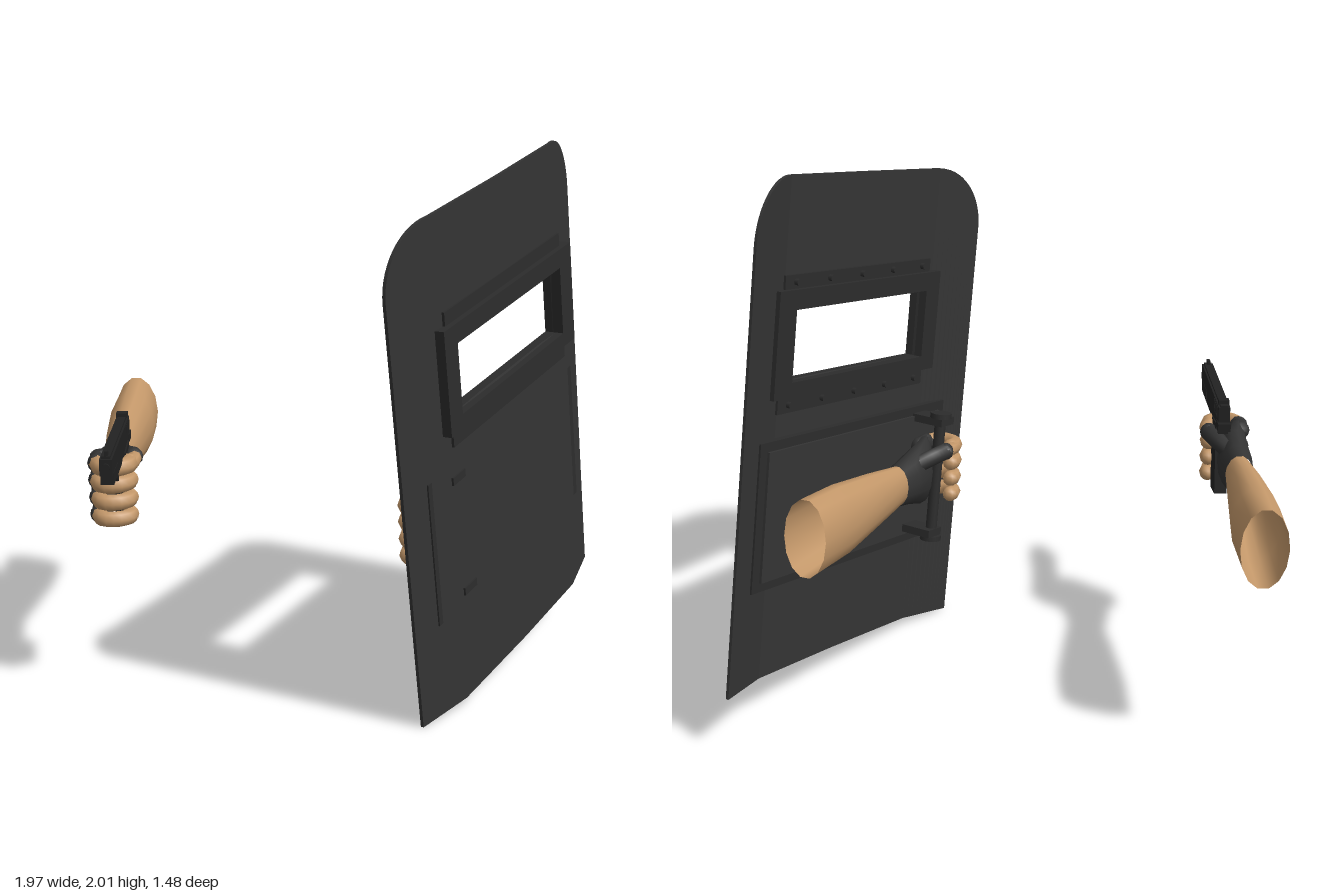
import * as THREE from 'three';

const paint = (name, color, side = THREE.FrontSide) => {
  const m = new THREE.MeshStandardMaterial({ color, side });
  m.name = name;
  return m;
};

// Shield dimensions in its own plane: u across, v up, n outward
const W = 1.417, H = 1.85, R = 0.237;
const HOLE = { u0: 0.31, u1: 1.14, v0: 1.115, v1: 1.378 };

function add(parent, name, geometry, material, x = 0, y = 0, z = 0) {
  const m = new THREE.Mesh(geometry, material);
  m.name = name;
  m.position.set(x, y, z);
  parent.add(m);
  return m;
}

// Box given by its extents
function block(parent, name, mat, [x0, x1], [y0, y1], [z0, z1]) {
  return add(parent, name, new THREE.BoxGeometry(x1 - x0, y1 - y0, z1 - z0), mat,
    (x0 + x1) / 2, (y0 + y1) / 2, (z0 + z1) / 2);
}

// Elliptical sections [z, cx, cy, rx, ry], ordered along +z
function loft(sections, sides = 14) {
  const pos = [], idx = [];
  sections.forEach(([z, cx, cy, rx, ry], j) => {
    for (let i = 0; i < sides; i++) {
      const a = (i / sides) * Math.PI * 2;
      pos.push(cx + rx * Math.cos(a), cy + ry * Math.sin(a), z);
      if (j === sections.length - 1) continue;
      const p = j * sides + i, q = j * sides + (i + 1) % sides;
      idx.push(p, q, p + sides, q, q + sides, p + sides);
    }
  });
  const g = new THREE.BufferGeometry();
  g.setAttribute('position', new THREE.Float32BufferAttribute(pos, 3));
  g.setIndex(idx);
  g.computeVertexNormals();
  return g;
}

// Rounded limb following a few points
function limb(parent, name, mat, points, r) {
  const pts = points.map(p => new THREE.Vector3(...p));
  add(parent, name, new THREE.TubeGeometry(new THREE.CatmullRomCurve3(pts), 10, r, 8), mat);
  for (const p of [pts[0], pts[pts.length - 1]])
    add(parent, name + 'End', new THREE.SphereGeometry(r, 8, 6), mat, p.x, p.y, p.z);
}

// Forearm and fist around an upright bar at the origin; s = 1 right, -1 left
function createArm(s, skin, glove) {
  const g = new THREE.Group();
  const flip = list => list.map(([z, cx, cy, rx, ry]) => [z, cx * s, cy, rx, ry]);
  const side = pts => pts.map(([x, y, z]) => [x * s, y, z]);
  add(g, 'forearm', loft(flip([[-0.94, -0.04, 0, 0.085, 0.148], [-0.72, -0.04, 0, 0.09, 0.14],
    [-0.45, -0.045, 0, 0.07, 0.107], [-0.22, -0.045, 0, 0.048, 0.075]])), skin);
  add(g, 'glove', loft(flip([[-0.25, -0.045, 0, 0.054, 0.082], [-0.17, -0.045, 0, 0.064, 0.095],
    [-0.07, -0.045, 0, 0.062, 0.122], [0.02, -0.065, -0.005, 0.045, 0.135],
    [0.06, -0.075, -0.005, 0.03, 0.125], [0.075, -0.075, -0.005, 0.001, 0.001]])), glove);
  [0.09, 0.027, -0.04, -0.105].forEach((y, i) => {
    const r = 0.033 - i * 0.001, reach = 1 - Math.abs(i - 1) * 0.04;
    limb(g, 'gloveKnuckle', glove, side([[-0.08, y, 0.01], [-0.08, y, 0.07 * reach]]), r + 0.003);
    limb(g, 'finger', skin, side([[-0.08, y, 0.07 * reach], [-0.055, y, 0.13 * reach],
      [-0.005, y, 0.135 * reach], [0.032, y, 0.095], [0.035, y, 0.06]]), r);
  });
  limb(g, 'gloveThumb', glove, side([[-0.03, 0.05, -0.13], [0.02, 0.08, -0.07], [0.045, 0.092, -0.01]]), 0.034);
  limb(g, 'thumb', skin, side([[0.045, 0.092, -0.01], [0.05, 0.092, 0.03], [0.042, 0.088, 0.075]]), 0.026);
  return g;
}

// Outward bulge of the shield plate
function bulge(u) {
  const q = Math.min(u, W - u);
  return q < R ? 0.052 * q / R : 0.052 + 0.006 * (q - R) / (W / 2 - R);
}

// Patch of the curved plate between two heights
function patch(parent, mat, segs, uAt, low, high) {
  const g = new THREE.BoxGeometry(1, 1, 0.012, segs, 1, 1), p = g.attributes.position;
  for (let i = 0; i < p.count; i++) {
    const u = uAt(p.getX(i) + 0.5);
    const v = THREE.MathUtils.lerp(low(u), high(u), p.getY(i) + 0.5);
    p.setXYZ(i, u, v, p.getZ(i) + bulge(u));
  }
  g.computeVertexNormals();
  add(parent, 'shieldPlate', g, mat);
}

function createShield(plateMat, fitting) {
  const g = new THREE.Group();
  const zero = () => 0, top = () => H;
  const span = (a, b) => t => a + (b - a) * t;
  const corner = u => {
    const d = R - Math.min(u, W - u);
    return H - R + Math.sqrt(Math.max(0, R * R - d * d));
  };
  // Side wings with rounded top corners, then the flat middle around the window
  patch(g, plateMat, 14, t => R * (1 - Math.cos(t * Math.PI / 2)), zero, corner);
  patch(g, plateMat, 14, t => W - R * (1 - Math.sin(t * Math.PI / 2)), zero, corner);
  patch(g, plateMat, 1, span(R, HOLE.u0), zero, top);
  patch(g, plateMat, 1, span(HOLE.u1, W - R), zero, top);
  patch(g, plateMat, 2, span(HOLE.u0, HOLE.u1), zero, () => HOLE.v0);
  patch(g, plateMat, 2, span(HOLE.u0, HOLE.u1), () => HOLE.v1, top);

  // Window frame and its riveted flange
  const ring = (name, u0, u1, v0, v1, n0, n1) => {
    const rect = (T, a, b, c, d) => new T([[a, c], [b, c], [b, d], [a, d]].map(p => new THREE.Vector2(...p)));
    const shape = rect(THREE.Shape, u0, u1, v0, v1);
    shape.holes.push(rect(THREE.Path, HOLE.u0, HOLE.u1, HOLE.v0, HOLE.v1));
    add(g, name, new THREE.ExtrudeGeometry(shape, { depth: n1 - n0, bevelEnabled: false }), fitting, 0, 0, n0);
  };
  ring('windowFrame', 0.22, 1.24, 1.06, 1.45, 0.015, 0.09);
  ring('windowFlange', 0.27, 1.19, 1.0, 1.5, 0.035, 0.068);
  for (const v of [1.03, 1.475])
    for (let i = 0; i < 5; i++) {
      const rivet = add(g, 'rivet', new THREE.CylinderGeometry(0.012, 0.012, 0.02, 8), fitting, 0.33 + i * 0.2, v, 0.03);
      rivet.rotation.x = Math.PI / 2;
    }

  // Back panel, whose edges show past the curved wings
  block(g, 'backPanel', fitting, [0.12, 1.3], [0.36, 0.915], [0.012, 0.038]);
  block(g, 'backPad', plateMat, [0.16, 1.26], [0.395, 0.88], [0.002, 0.02]);

  // Grip bar with two brackets bolted through the plate
  add(g, 'gripBar', new THREE.CylinderGeometry(0.022, 0.022, 0.5, 12), fitting, 0.31, 0.65, -0.1);
  for (const [u, v] of [[0.295, 0.875], [0.32, 0.425]]) {
    block(g, 'gripBracket', fitting, [u - 0.045, u + 0.045], [v - 0.015, v + 0.015], [-0.125, 0.066]);
    add(g, 'gripCap', new THREE.CylinderGeometry(0.042, 0.042, 0.02, 12), fitting, 0.31, v < 0.6 ? 0.4 : 0.9, -0.1);
  }

  // Lean and turn the shield into place
  const U = new THREE.Vector3(0.74, 0.21, -1.19).normalize();
  const N = U.clone().cross(new THREE.Vector3(-0.09, 0.99, 0.111)).normalize();
  const V = N.clone().cross(U);
  g.quaternion.setFromRotationMatrix(new THREE.Matrix4().makeBasis(U, V, N));
  g.position.set(0.24, 0, 0.55);
  return g;
}

function createPistol(metal) {
  const g = new THREE.Group();
  block(g, 'slide', metal, [-0.022, 0.022], [0.985, 1.045], [0.1, 0.65]);
  block(g, 'slideTop', metal, [-0.015, 0.015], [1.04, 1.053], [0.1, 0.64]);
  block(g, 'frame', metal, [-0.019, 0.019], [0.935, 0.99], [0.11, 0.5]);
  block(g, 'dustCover', metal, [-0.023, 0.023], [0.945, 0.988], [0.48, 0.62]);
  block(g, 'tang', metal, [-0.024, 0.024], [0.955, 0.985], [0.08, 0.14]);
  block(g, 'rearSight', metal, [-0.02, 0.02], [1.05, 1.068], [0.12, 0.15]);
  block(g, 'frontSight', metal, [-0.006, 0.006], [1.05, 1.07], [0.61, 0.635]);
  for (let i = 0; i < 5; i++)
    block(g, 'serration', metal, [-0.025, 0.025], [0.995, 1.04], [0.13 + i * 0.022, 0.14 + i * 0.022]);
  const barrel = add(g, 'barrel', new THREE.CylinderGeometry(0.014, 0.014, 0.1, 12), metal, 0, 1.018, 0.608);
  barrel.rotation.x = Math.PI / 2;
  const grip = block(g, 'grip', metal, [-0.024, 0.024], [0.68, 0.96], [0.13, 0.25]);
  grip.rotation.x = 0.13;
  const guard = add(g, 'triggerGuard', new THREE.TorusGeometry(0.045, 0.008, 6, 16), metal, 0, 0.905, 0.315);
  guard.rotation.y = Math.PI / 2;
  block(g, 'trigger', metal, [-0.006, 0.006], [0.88, 0.94], [0.3, 0.315]);
  return g;
}

export function createModel() {
  const model = new THREE.Group();
  const skin = paint('skin', 0xc4986a, THREE.DoubleSide);
  const glove = paint('glove', 0x333333);
  const plate = paint('shieldPlate', 0x343434);
  const fitting = paint('shieldFittings', 0x2c2c2c);
  const metal = paint('gunMetal', 0x222222);

  const shield = createShield(plate, fitting);
  shield.name = 'shield';

  const rightArm = createArm(1, skin, glove);
  rightArm.name = 'rightArm';
  rightArm.position.set(-0.85, 0.825, 0.2);

  const leftArm = createArm(-1, skin, glove);
  leftArm.name = 'leftArm';
  leftArm.position.set(0.255, 0.71, 0.31);
  leftArm.rotation.set(0.07, -0.444, 0, 'YXZ');

  const pistol = createPistol(metal);
  pistol.name = 'pistol';
  pistol.position.x = -0.85;

  model.add(shield, rightArm, leftArm, pistol);
  return model;
}
